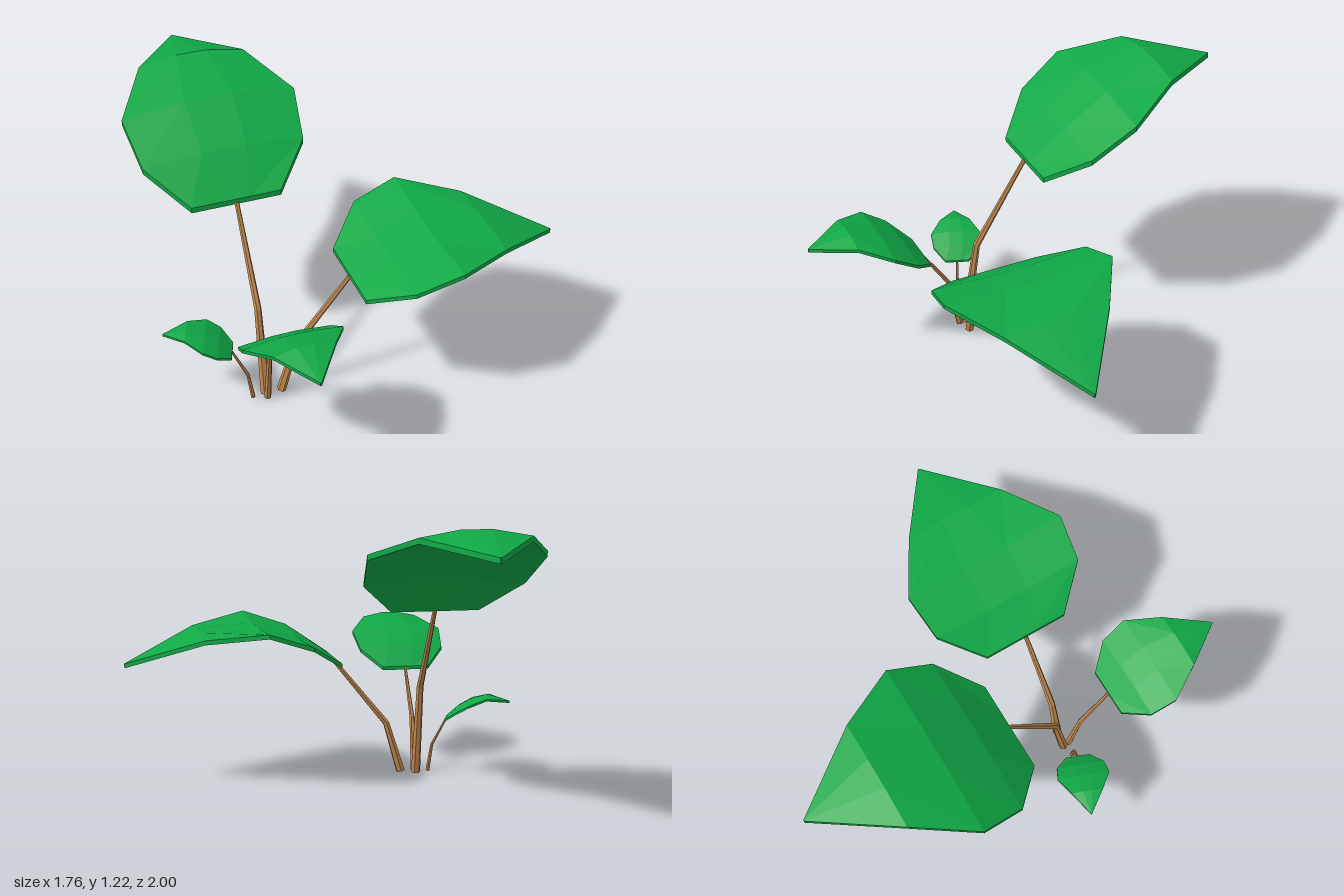
import * as THREE from 'three';

const leafMaterial = new THREE.MeshStandardMaterial({ color: 0x10a846, flatShading: true });
const stemMaterial = new THREE.MeshStandardMaterial({ color: 0xc08850, flatShading: true });

// Skin a series of equal-sized rings and close both ends
function loft(rings, material, name) {
  const n = rings[0].length;
  const positions = rings.flat().flatMap(p => [p.x, p.y, p.z]);
  const index = [];
  for (let r = 0; r < rings.length - 1; r++) {
    for (let i = 0; i < n; i++) {
      const j = (i + 1) % n, a = r * n, b = a + n;
      index.push(a + i, a + j, b + j, a + i, b + j, b + i);
    }
  }
  const last = (rings.length - 1) * n;
  for (let i = 1; i < n - 1; i++) {
    index.push(0, i + 1, i, last, last + i, last + i + 1);
  }
  const geometry = new THREE.BufferGeometry();
  geometry.setAttribute('position', new THREE.Float32BufferAttribute(positions, 3));
  geometry.setIndex(index);
  const flat = geometry.toNonIndexed();
  flat.computeVertexNormals();
  const mesh = new THREE.Mesh(flat, material);
  mesh.name = name;
  return mesh;
}

// Tapered six-sided stem through bent path points
function makeStem(points, r0, r1, side) {
  const path = points.map(p => new THREE.Vector3(...p));
  const rings = path.map((p, k) => {
    const tangent = path[Math.min(k + 1, path.length - 1)].clone()
      .sub(path[Math.max(k - 1, 0)]).normalize();
    const v = tangent.clone().cross(side).normalize();
    const u = v.clone().cross(tangent);
    const r = THREE.MathUtils.lerp(r0, r1, k / (path.length - 1));
    return Array.from({ length: 6 }, (_, i) => {
      const a = (i / 6) * Math.PI * 2;
      return p.clone().addScaledVector(u, r * Math.cos(a)).addScaledVector(v, r * Math.sin(a));
    });
  });
  return loft(rings, stemMaterial, 'stem');
}

// Blade rows: [distance from base, height, half width, edge lift]
function makeBlade(base, dir, side, rows, thickness) {
  const rings = rows.map(([d, y, w, lift]) => {
    const place = (u, h) => new THREE.Vector3(base[0], y + h, base[1])
      .addScaledVector(dir, d).addScaledVector(side, u);
    const c = w * 0.28;
    const top = [[w, lift], [c, 0], [-c, 0], [-w, lift]];
    const bottom = top.slice().reverse().map(([u, h]) => [u, h - thickness]);
    return [...bottom, ...top].map(([u, h]) => place(u, h));
  });
  return loft(rings, leafMaterial, 'blade');
}

const leaves = [
  {
    name: 'tallBackLeaf', heading: [0, -1], base: [-0.47, -0.05], thickness: 0.025,
    stem: [[-0.47, 0.005, 0.27], [-0.47, 0.42, 0.2], [-0.47, 0.815, -0.05]], radii: [0.022, 0.01],
    rows: [[0, 0.83, 0.2, 0], [0.16, 0.99, 0.36, -0.025], [0.36, 1.135, 0.39, -0.035],
      [0.62, 1.22, 0.24, -0.03], [0.95, 1.14, 0.003, 0]],
  },
  {
    name: 'wideSideLeaf', heading: [1, 0], base: [-0.08, 0.28], thickness: 0.02,
    stem: [[-0.4, 0.01, 0.28], [-0.33, 0.24, 0.28], [-0.08, 0.545, 0.28]], radii: [0.021, 0.01],
    rows: [[0, 0.56, 0.2, 0], [0.16, 0.65, 0.365, 0.015], [0.36, 0.713, 0.39, 0.018],
      [0.62, 0.7, 0.24, -0.01], [0.955, 0.56, 0.003, 0]],
  },
  {
    name: 'frontLeaf', heading: [0, 1], base: [-0.47, 0.475], thickness: 0.016,
    stem: [[-0.47, 0.005, 0.3], [-0.47, 0.25, 0.345], [-0.47, 0.46, 0.48]], radii: [0.016, 0.007],
    rows: [[0, 0.47, 0.11, 0], [0.09, 0.56, 0.2, -0.015], [0.2, 0.635, 0.215, -0.018],
      [0.34, 0.684, 0.13, -0.02], [0.525, 0.643, 0.003, 0]],
  },
  {
    name: 'smallSideLeaf', heading: [-0.934, -0.357], base: [-0.605, 0.245], thickness: 0.01,
    stem: [[-0.53, 0.005, 0.28], [-0.548, 0.13, 0.273], [-0.607, 0.255, 0.245]], radii: [0.01, 0.005],
    rows: [[0, 0.262, 0.055, 0], [0.055, 0.315, 0.108, -0.01], [0.115, 0.35, 0.117, -0.01],
      [0.195, 0.375, 0.07, -0.008], [0.295, 0.35, 0.002, 0]],
  },
];

export function createModel() {
  const plant = new THREE.Group();
  plant.name = 'leafyPlant';
  const up = new THREE.Vector3(0, 1, 0);
  for (const { name, heading, base, thickness, stem, radii, rows } of leaves) {
    const dir = new THREE.Vector3(heading[0], 0, heading[1]).normalize();
    const side = up.clone().cross(dir);
    const leaf = new THREE.Group();
    leaf.name = name;
    leaf.add(makeStem(stem, radii[0], radii[1], side));
    leaf.add(makeBlade(base, dir, side, rows, thickness));
    plant.add(leaf);
  }
  return plant;
}
